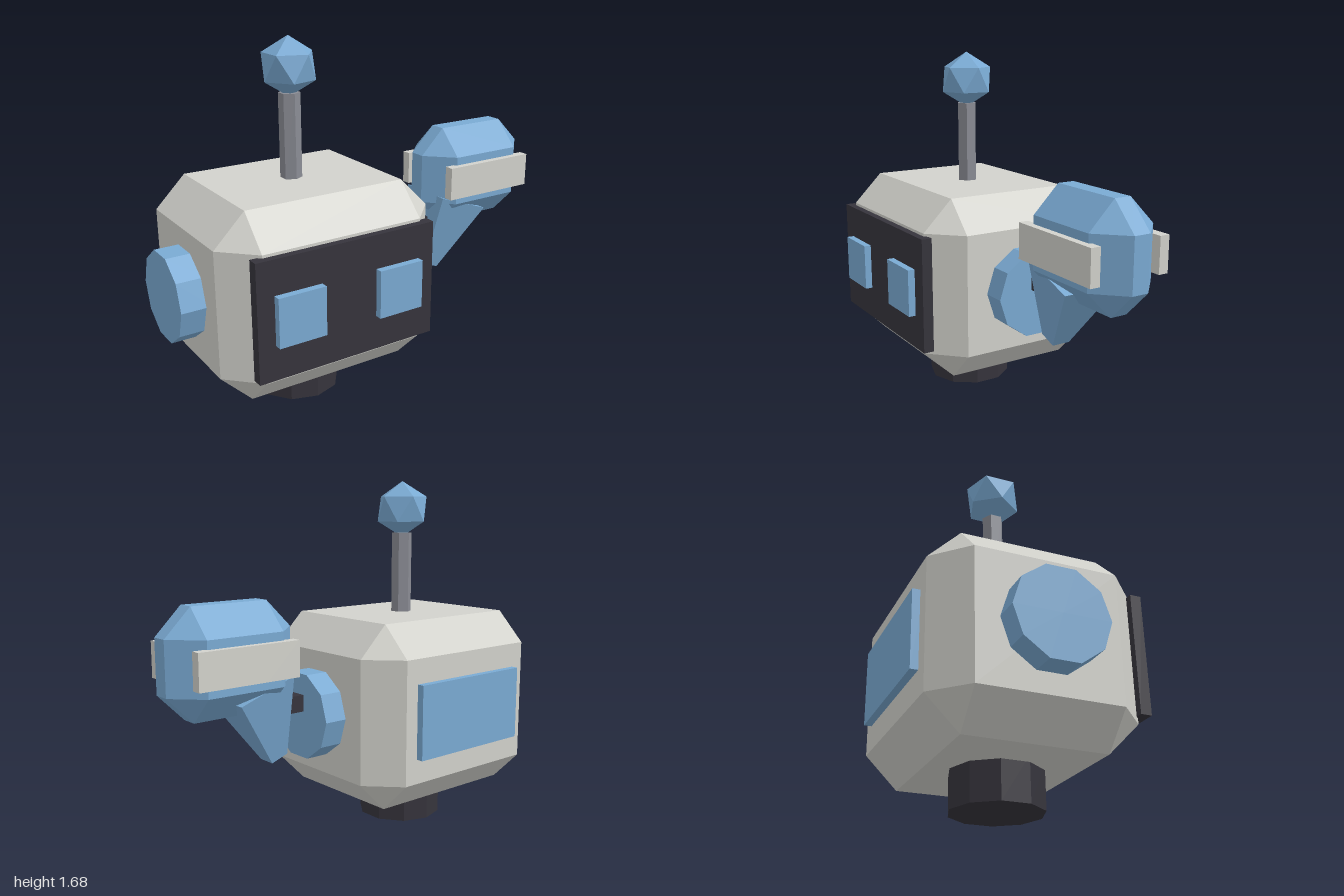
import * as THREE from 'three';
import { ConvexGeometry } from 'three/addons/geometries/ConvexGeometry.js';

const mat = (name, color) => {
  const m = new THREE.MeshStandardMaterial({ color, flatShading: true });
  m.name = name;
  return m;
};

// Box with all edges cut at 45 degrees and triangular corners
function chamferBox(w, h, d, bevel) {
  const half = [w / 2, h / 2, d / 2];
  const points = [];
  for (const sx of [-1, 1]) for (const sy of [-1, 1]) for (const sz of [-1, 1]) {
    const sign = [sx, sy, sz];
    for (let axis = 0; axis < 3; axis++) {
      const p = sign.map((s, i) => s * (half[i] - (i === axis ? 0 : bevel)));
      points.push(new THREE.Vector3(...p));
    }
  }
  return new ConvexGeometry(points);
}

export function createModel() {
  const model = new THREE.Group();
  model.name = 'robotHead';
  const blue = mat('blue', 0x7aaad3);
  const shell = mat('shellGrey', 0xd2d2cc);
  const dark = mat('darkGrey', 0x36343c);
  const metal = mat('metalGrey', 0x8a8c94);

  const add = (name, geometry, material, x, y, z, rz = 0) => {
    const mesh = new THREE.Mesh(geometry, material);
    mesh.name = name;
    mesh.position.set(x, y, z);
    mesh.rotation.z = rz;
    model.add(mesh);
    return mesh;
  };
  const box = (w, h, d) => new THREE.BoxGeometry(w, h, d);
  const cx = -0.348, cz = -0.017;

  // Head and neck
  add('head', chamferBox(1.075, 0.87, 0.912, 0.145), shell, cx, 0.605, cz);
  add('neck', new THREE.CylinderGeometry(0.206, 0.206, 0.2, 10), dark, cx, 0.1, cz);

  // Face plate, eyes and back panel
  add('facePlate', box(0.883, 0.542, 0.05), dark, cx, 0.611, 0.448);
  for (const s of [-1, 1]) {
    add(s > 0 ? 'leftEye' : 'rightEye', box(0.225, 0.224, 0.04), blue, cx + s * 0.249, 0.612, 0.487);
  }
  add('backPanel', box(0.65, 0.348, 0.05), blue, cx, 0.605, -0.482);

  // Ears
  for (const s of [-1, 1]) {
    add(s > 0 ? 'leftEar' : 'rightEar', new THREE.CylinderGeometry(0.208, 0.208, 0.14, 10), blue,
      cx + s * 0.58, 0.605, cz, Math.PI / 2);
  }

  // Antenna
  add('antennaStem', new THREE.CylinderGeometry(0.05, 0.05, 0.42, 6), metal, cx, 1.22, cz);
  add('antennaBall', new THREE.IcosahedronGeometry(0.135, 0), blue, cx, 1.545, cz,
    -Math.atan(2 / (1 + Math.sqrt(5))));

  // Arm, tapered forearm and hand
  add('armRod', box(0.2, 0.078, 0.078), dark, 0.36, 0.667, cz);
  const taper = new THREE.CylinderGeometry(0.207, 0.063, 0.37, 4);
  taper.rotateY(Math.PI / 4);
  add('forearm', taper, blue, 0.506, 0.606, cz, -0.345);
  add('hand', chamferBox(0.625, 0.493, 0.33, 0.125), blue, 0.687, 0.914, cz);

  // Finger segments on both sides of the hand
  for (const s of [-1, 1]) for (let i = -1; i <= 1; i++) {
    add('fingerSegment', box(0.166, 0.163, 0.047), shell, 0.687 + i * 0.166, 0.915, cz + s * 0.175);
  }
  return model;
}
